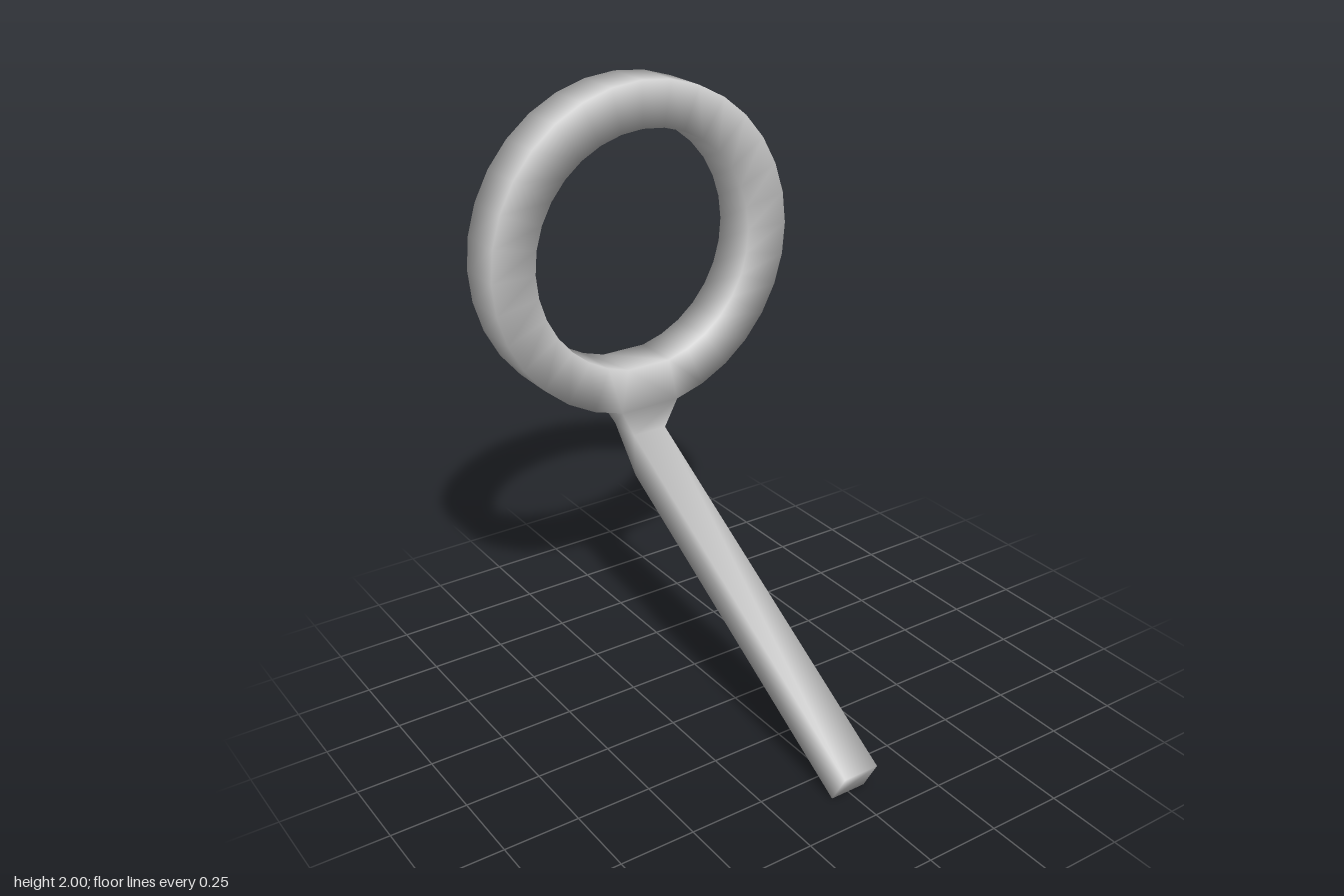
import * as THREE from 'three';

// Square-section ring whose underside opens into a neck and a bent handle,
// built as one continuous smooth skin.
export function createModel() {
  const SEG = 32, OUTER = 0.557, INNER = 0.404, CENTER_Y = 1.443;
  const FRONT = -0.505, BACK = -0.672, HALF = 0.062;
  const pos = [], index = [];

  const vertex = (x, y, z) => pos.push(x, y, z) / 3 - 1;
  const triangle = (a, b, c) => {
    if (a !== b && b !== c && c !== a) index.push(a, b, c);
  };
  const quad = (a, b, c, d) => { triangle(a, b, c); triangle(a, c, d); };

  // Ring sections; the bottom one is left out to make room for the neck
  const sections = [];
  for (let k = 1; k < SEG; k++) {
    const a = (k / SEG) * Math.PI * 2;
    const corner = (r, z) => vertex(r * Math.sin(a), CENTER_Y - r * Math.cos(a), z);
    sections.push([corner(OUTER, FRONT), corner(INNER, FRONT), corner(INNER, BACK), corner(OUTER, BACK)]);
  }
  sections.forEach((p, i) => {
    const closing = i === sections.length - 1;
    const n = sections[(i + 1) % sections.length];
    // the closing span has no outer face: the neck grows from it
    for (let j = 0; j < (closing ? 3 : 4); j++) {
      const m = (j + 1) % 4;
      quad(p[m], p[j], n[j], n[m]);
    }
  });

  // Neck and handle loops: left front, right front, right back, left back
  const pair = (y, z) => [vertex(HALF, y, z), vertex(-HALF, y, z)];
  const loop = (f, b) => [f[0], f[1], b[1], b[0]];
  const first = sections[0], last = sections[sections.length - 1];
  const bend = pair(0.8, -0.512);
  const loops = [
    [first[0], last[0], last[3], first[3]],
    loop(bend, pair(0.8, -0.637)),
    loop(bend, pair(0.65, -0.51)), // the bend pivots on its upper edge
    loop(pair(0.107, 0.672), pair(0, 0.612)),
  ];
  for (let i = 0; i < loops.length - 1; i++) {
    const p = loops[i], n = loops[i + 1];
    for (let j = 0; j < 4; j++) {
      const m = (j + 1) % 4;
      quad(p[j], p[m], n[m], n[j]);
    }
  }
  quad(...loops[loops.length - 1]); // handle end cap

  const geometry = new THREE.BufferGeometry();
  geometry.setAttribute('position', new THREE.Float32BufferAttribute(pos, 3));
  geometry.setIndex(index);
  geometry.computeVertexNormals();

  const mesh = new THREE.Mesh(geometry, new THREE.MeshStandardMaterial({ color: 0xcccccc }));
  mesh.name = 'ringWithHandle';
  const group = new THREE.Group();
  group.name = 'ringTool';
  group.add(mesh);
  return group;
}
